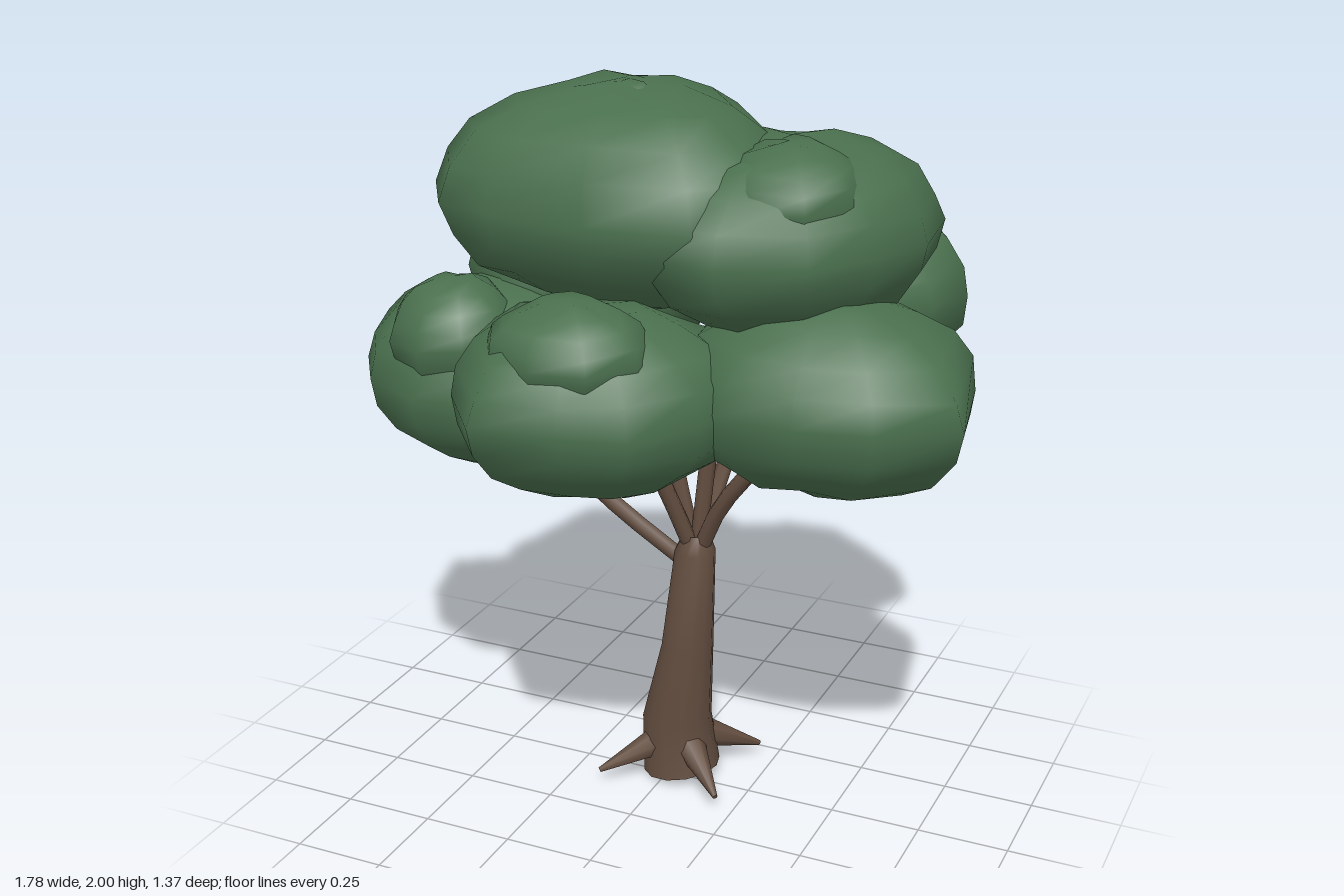
import * as THREE from 'three';
import { mergeVertices } from 'three/addons/utils/BufferGeometryUtils.js';

const leafGreen = new THREE.MeshStandardMaterial({ color: 0x4a704e });
const barkBrown = new THREE.MeshStandardMaterial({ color: 0x654f41 });

// Skin a stack of closed rings, listed from bottom to top
function loft(rings) {
  const n = rings[0].length, index = [];
  for (let i = 0; i < rings.length - 1; i++) {
    for (let k = 0; k < n; k++) {
      const a = i * n + k, b = i * n + (k + 1) % n;
      index.push(a, a + n, b, b, a + n, b + n);
    }
  }
  let geo = new THREE.BufferGeometry();
  geo.setAttribute('position', new THREE.Float32BufferAttribute(rings.flat(2), 3));
  geo.setIndex(index);
  geo = mergeVertices(geo, 1e-5);
  geo.computeVertexNormals();
  return geo;
}

let seed = 7;
const random = () => (seed = (seed * 16807) % 2147483647) / 2147483647;

// Rounded leaf clump: an outline in plan, swept from pole to pole
function clump(name, [cx, cy, cz], ry, outline) {
  const angle = ([x, z]) => Math.atan2(z - cz, x - cx);
  const points = [...outline].sort((p, q) => angle(p) - angle(q));
  const rows = 10, rings = [];
  for (let i = 0; i <= rows; i++) {
    const t = Math.PI * (1 - i / rows), pole = i === 0 || i === rows;
    rings.push(points.map(([x, z]) => {
      const s = pole ? 0 : Math.sin(t) * (1 + (random() - 0.5) * 0.04);
      const h = pole ? 0 : (random() - 0.5) * 0.02;
      return [cx + (x - cx) * s, cy + ry * Math.cos(t) + h, cz + (z - cz) * s];
    }));
  }
  const mesh = new THREE.Mesh(loft(rings), leafGreen);
  mesh.name = name;
  return mesh;
}

// Plain oval outline for the small clumps
function oval([cx, , cz], rx, rz) {
  return Array.from({ length: 9 }, (_, k) => {
    const a = k / 9 * Math.PI * 2 + 0.3;
    return [cx + rx * Math.cos(a), cz + rz * Math.sin(a)];
  });
}

export function createModel() {
  const tree = new THREE.Group();
  tree.name = 'tree';
  const add = (geo, name) => {
    const mesh = new THREE.Mesh(geo, barkBrown);
    mesh.name = name;
    tree.add(mesh);
    return mesh;
  };

  // Leaning trunk, with a slightly tilted foot
  const ring = ([x, y, z, r, tilt = 0]) => Array.from({ length: 12 }, (_, k) => {
    const a = k / 12 * Math.PI * 2;
    return [x + r * Math.cos(a), y + tilt * Math.cos(a), z + r * Math.sin(a)];
  });
  add(loft([
    [0.03, 0.02, -0.035, 0.108, 0.018],
    [0.015, 0.18, -0.035, 0.098],
    [0.07, 0.44, 0.02, 0.072],
    [0.085, 0.72, 0.005, 0.056],
    [0.088, 0.77, 0.003, 0.035]
  ].map(ring)), 'trunk');
  const foot = add(new THREE.CircleGeometry(0.108, 12).rotateX(Math.PI / 2), 'trunkFoot');
  foot.rotation.z = Math.atan2(0.018, 0.108);
  foot.position.set(0.03, 0.02, -0.035);

  // Four pointed roots, one in each diagonal
  const up = new THREE.Vector3(0, 1, 0);
  for (const sx of [-1, 1]) {
    for (const sz of [-1, 1]) {
      const from = new THREE.Vector3(0.03 + sx * 0.05, 0.11, -0.035 + sz * 0.05);
      const to = new THREE.Vector3(0.025 + sx * 0.178, 0.041, -0.035 + sz * 0.165);
      const dir = to.clone().sub(from);
      const root = add(new THREE.CylinderGeometry(0.007, 0.043, dir.length(), 7), 'root');
      root.position.copy(from).add(to).multiplyScalar(0.5);
      root.quaternion.setFromUnitVectors(up, dir.normalize());
    }
  }

  // Branches, one reaching into each large clump
  const branches = [
    [[0.07, 0.67, 0], [-0.14, 0.84, 0.05], [-0.33, 1.03, 0.09]],
    [[0.09, 0.7, 0], [0.17, 0.87, 0.04], [0.35, 1.1, 0.09]],
    [[0.08, 0.72, 0.01], [0.03, 0.92, 0.08], [-0.03, 1.12, 0.16]],
    [[0.08, 0.72, 0], [-0.01, 0.95, -0.06], [-0.13, 1.25, -0.15]],
    [[0.09, 0.72, 0], [0.13, 0.95, -0.1], [0.2, 1.25, -0.2]],
    [[0.08, 0.72, 0], [0.02, 0.97, 0], [-0.1, 1.5, -0.01]],
    [[0.09, 0.72, 0], [0.12, 1.0, 0], [0.18, 1.45, 0]]
  ];
  for (const path of branches) {
    const curve = new THREE.CatmullRomCurve3(path.map(p => new THREE.Vector3(...p)));
    add(new THREE.TubeGeometry(curve, 6, 0.023, 7), 'branch');
  }

  // Large leaf clumps
  tree.add(
    clump('topClump', [-0.09, 1.71, 0.02], 0.29, [[0.37, 0], [0.36, 0.22], [0.23, 0.38], [-0.04, 0.42],
      [-0.33, 0.38], [-0.48, 0.33], [-0.59, 0.15], [-0.45, -0.21], [-0.25, -0.33], [0, -0.41], [0.12, -0.36]]),
    clump('upperLeftClump', [0.34, 1.64, 0.02], 0.25, [[0.69, -0.02], [0.62, 0.16], [0.5, 0.3], [0.3, 0.41],
      [0.1, 0.36], [0, 0.1], [0.02, -0.2], [0.12, -0.36], [0.33, -0.36], [0.56, -0.38], [0.66, -0.26]]),
    clump('leftClump', [0.49, 1.27, 0.1], 0.255, [[0.62, -0.23], [0.82, -0.08], [0.89, 0.28], [0.7, 0.38],
      [0.51, 0.42], [0.3, 0.4], [0.12, 0.28], [0.08, 0], [0.3, -0.24]]),
    clump('frontClump', [-0.05, 1.255, 0.36], 0.245, [[0.34, 0.25], [0.29, 0.44], [0.16, 0.59], [0, 0.65],
      [-0.22, 0.68], [-0.39, 0.46], [-0.43, 0.25], [-0.25, 0.08], [0, 0.02], [0.22, 0.08]]),
    clump('rightClump', [-0.47, 1.19, 0.08], 0.25, [[-0.89, -0.03], [-0.83, 0.15], [-0.74, 0.3], [-0.56, 0.39],
      [-0.36, 0.37], [-0.12, 0.27], [-0.06, 0], [-0.18, -0.23], [-0.44, -0.29], [-0.66, -0.2]]),
    clump('backRightClump', [-0.28, 1.42, -0.22], 0.24, [[0.05, -0.2], [-0.02, 0], [-0.2, 0.1], [-0.45, 0.08],
      [-0.62, -0.05], [-0.65, -0.18], [-0.6, -0.47], [-0.42, -0.56], [-0.23, -0.56], [0, -0.43]]),
    clump('backLeftClump', [0.36, 1.42, -0.34], 0.245, [[0, -0.58], [0.16, -0.67], [0.34, -0.69], [0.5, -0.57],
      [0.64, -0.47], [0.71, -0.35], [0.66, -0.2], [0.5, -0.08], [0.25, -0.05], [0.05, -0.2], [-0.02, -0.4]])
  );

  // Small clumps sunk into the large ones
  const small = [
    ['frontTuft', [-0.06, 1.4, 0.45], 0.14, 0.22, 0.18],
    ['rightTuft', [-0.51, 1.32, 0.22], 0.16, 0.18, 0.17],
    ['upperLeftTuft', [0.37, 1.755, 0.1], 0.14, 0.2, 0.21],
    ['topTuft', [-0.08, 1.85, 0.05], 0.15, 0.15, 0.14],
    ['backLeftTuft', [0.32, 1.58, -0.36], 0.09, 0.13, 0.12]
  ];
  for (const [name, centre, ry, rx, rz] of small) tree.add(clump(name, centre, ry, oval(centre, rx, rz)));
  return tree;
}
